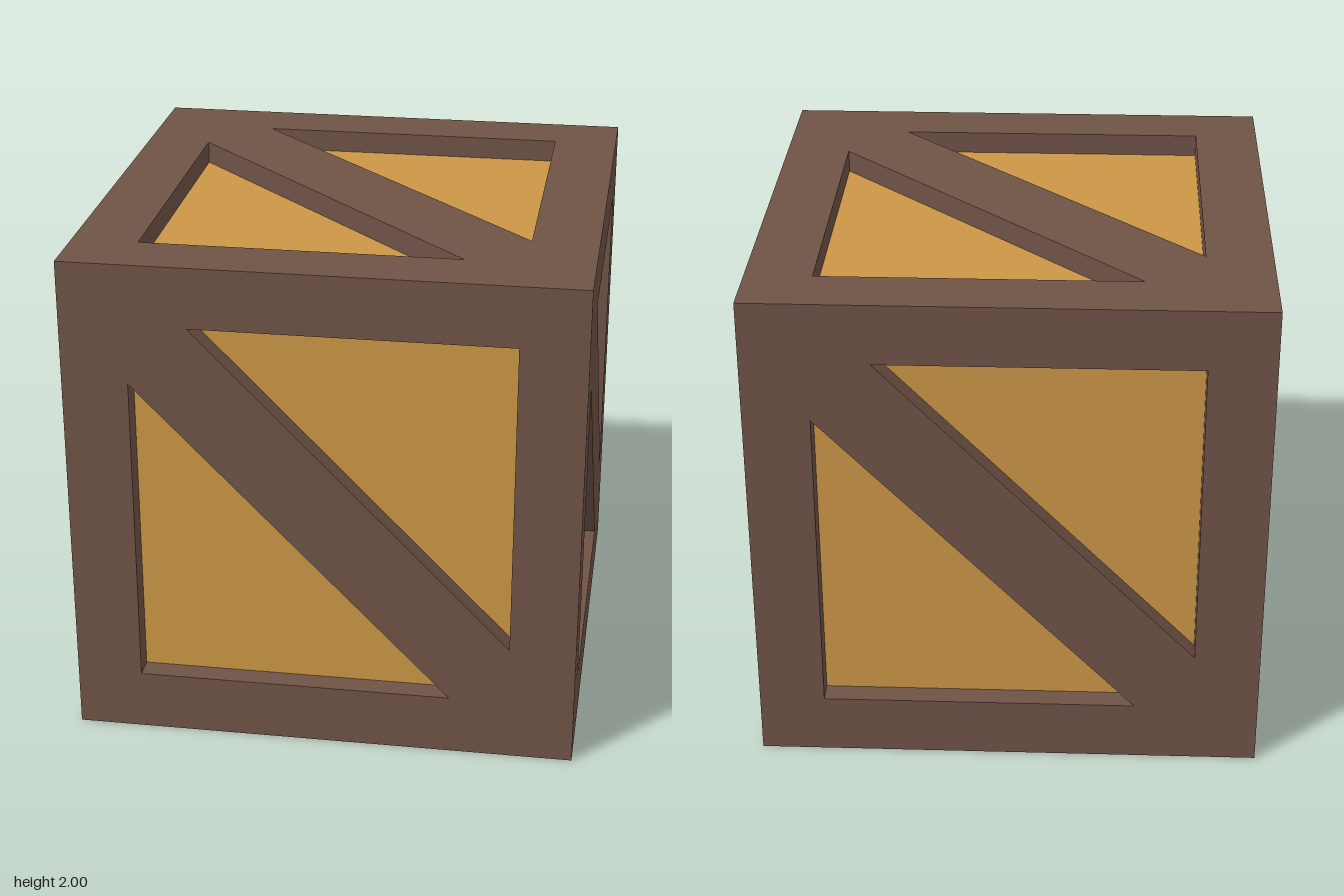
import * as THREE from 'three';

const DEPTH = 0.09; // how far the panels sit behind the frame
const LEG = 1.684;  // triangle leg relative to the opening's half size

// Mitred square frame with a diagonal brace, facing +z; hu and hv are the opening's half sizes
function frameGeometry(hu, hv) {
  const shape = new THREE.Shape([[-1, -1], [1, -1], [1, 1], [-1, 1]].map(([x, y]) => new THREE.Vector2(x, y)));
  for (const s of [1, -1]) {
    shape.holes.push(new THREE.Path([
      new THREE.Vector2(-s * hu, -s * hv),
      new THREE.Vector2(-s * hu, s * hv * (LEG - 1)),
      new THREE.Vector2(s * hu * (LEG - 1), -s * hv),
    ]));
  }
  const geo = new THREE.ExtrudeGeometry(shape, { depth: DEPTH, bevelEnabled: false });
  const p = geo.attributes.position;
  // Pull the rear outer edge inward so neighbouring frames meet at a mitre
  for (let i = 0; i < p.count; i++) {
    const outer = Math.max(Math.abs(p.getX(i)), Math.abs(p.getY(i))) > 0.99;
    if (outer && p.getZ(i) < DEPTH / 2) {
      p.setX(i, p.getX(i) * (1 - DEPTH));
      p.setY(i, p.getY(i) * (1 - DEPTH));
    }
  }
  geo.translate(0, 0, 1 - DEPTH);
  geo.computeVertexNormals();
  return geo;
}

export function createModel() {
  const frameWood = new THREE.MeshStandardMaterial({ name: 'dark brown wood', color: 0x6f5246 });
  const panelWood = new THREE.MeshStandardMaterial({ name: 'golden wood', color: 0xca9646 });

  const crate = new THREE.Group();
  crate.name = 'crate';

  // Inner box seen through the openings
  const size = 2 * (1 - DEPTH);
  const panels = new THREE.Mesh(new THREE.BoxGeometry(size, size, size), panelWood);
  panels.name = 'innerPanels';
  panels.position.y = 1;
  crate.add(panels);

  // One braced frame per side
  const frontGeo = frameGeometry(0.74, 0.757);
  const sideGeo = frameGeometry(0.752, 0.757);
  const topGeo = frameGeometry(0.74, 0.752);
  const q = Math.PI / 2;
  const faces = [
    ['frontFrame', frontGeo, 0, 0],
    ['backFrame', frontGeo, 0, 2 * q],
    ['leftFrame', sideGeo, 0, q],
    ['rightFrame', sideGeo, 0, -q],
    ['topFrame', topGeo, -q, 0],
    ['bottomFrame', topGeo, q, 0],
  ];
  for (const [name, geo, rx, ry] of faces) {
    const mesh = new THREE.Mesh(geo, frameWood);
    mesh.name = name;
    mesh.rotation.set(rx, ry, 0);
    mesh.position.y = 1;
    crate.add(mesh);
  }
  return crate;
}
